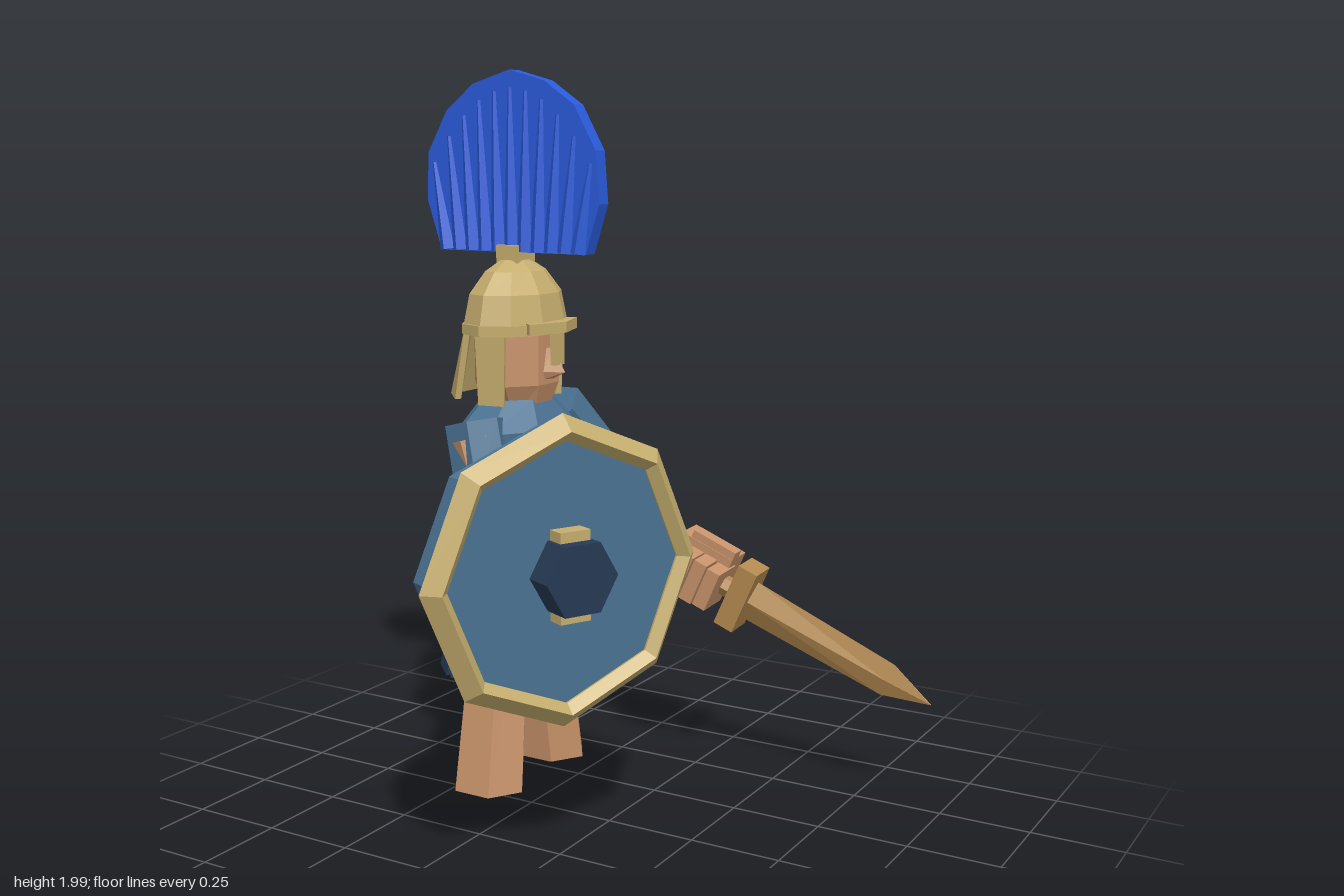
import * as THREE from 'three';

const mat = (color) => new THREE.MeshStandardMaterial({ color, flatShading: true });
const BLUE = mat(0x4a7292), NAVY = mat(0x263a54), GOLD = mat(0xc6ae6e), SKIN = mat(0xc8936a),
  BRONZE = mat(0xb58a50), CREST = mat(0x2a5bdc);
const V = (x, y, z) => new THREE.Vector3(x, y, z);

function add(parent, name, geo, material, x = 0, y = 0, z = 0) {
  const m = new THREE.Mesh(geo, material);
  m.name = name;
  m.position.set(x, y, z);
  parent.add(m);
  return m;
}
const box = (p, name, material, w, h, d, x, y, z) =>
  add(p, name, new THREE.BoxGeometry(w, h, d), material, x, y, z);

// Stack of elliptical rings [y, rx, rz, dx, dz], listed from the top down
function loft(rings, sides, turn = 0) {
  const k = rings.length - 1;
  const g = new THREE.CylinderGeometry(1, 1, 1, sides, k, false, turn);
  const p = g.attributes.position;
  for (let i = 0; i < p.count; i++) {
    const [y, rx, rz, dx = 0, dz = 0] = rings[Math.round((0.5 - p.getY(i)) * k)];
    p.setXYZ(i, p.getX(i) * rx + dx, y, p.getZ(i) * rz + dz);
  }
  return g;
}

// Tapered limb between two points
function limb(parent, name, material, a, b, ra, rb, sides = 6) {
  const m = add(parent, name, new THREE.CylinderGeometry(rb, ra, a.distanceTo(b), sides), material);
  m.position.copy(a).lerp(b, 0.5);
  m.quaternion.setFromUnitVectors(V(0, 1, 0), b.clone().sub(a).normalize());
  return m;
}

// Plate wrapped on an ellipse: top/bottom = [y, rx, rz, halfAngle]
function plate(parent, name, material, angle, top, bottom, thick) {
  const g = new THREE.BoxGeometry(2, 2, 2);
  const p = g.attributes.position;
  for (let i = 0; i < p.count; i++) {
    const [y, rx, rz, half] = p.getY(i) > 0 ? top : bottom;
    const t = angle - p.getX(i) * half, o = p.getZ(i) > 0 ? 0 : -thick;
    p.setXYZ(i, (rx + o) * Math.cos(t), y, (rz + o) * Math.sin(t));
  }
  return add(parent, name, g, material);
}

function makeBody() {
  const body = new THREE.Group();
  body.name = 'body';
  body.position.set(-0.425, 0, -0.21);
  add(body, 'tunic', loft([[1.11, 0.09, 0.12], [1.03, 0.14, 0.23], [0.85, 0.138, 0.205], [0.62, 0.122, 0.175]], 8, Math.PI / 8), BLUE);
  add(body, 'belt', loft([[0.64, 0.138, 0.19], [0.59, 0.138, 0.19]], 10), NAVY);

  // Skirt strips, each with a belt stud
  for (let i = 0; i < 10; i++) {
    const a = (i + 0.5) * Math.PI / 5;
    plate(body, 'skirtStrip', NAVY, a, [0.61, 0.14, 0.185, 0.29], [0.35, 0.198, 0.28, 0.26], 0.015);
    const stud = box(body, 'beltStud', GOLD, 0.02, 0.04, 0.032, 0.14 * Math.cos(a), 0.615, 0.19 * Math.sin(a));
    stud.rotation.y = -a;
  }

  // Legs
  for (const s of [1, -1])
    add(body, 'leg', loft([[0.62, 0.085, 0.085, 0, s * 0.075], [0.01, 0.112, 0.1, 0, s * 0.163]], 6, Math.PI / 6), SKIN);

  // Head and nose
  add(body, 'head', loft([[1.32, 0.115, 0.135], [1.15, 0.115, 0.135], [1.06, 0.085, 0.075]], 8, Math.PI / 8), SKIN);
  add(body, 'nose', loft([[1.25, 0.015, 0.012], [1.185, 0.055, 0.028], [1.165, 0.015, 0.02]], 4), SKIN, 0.105);
  return body;
}

function makeHelmet() {
  const helmet = new THREE.Group();
  helmet.name = 'helmet';
  helmet.position.set(-0.425, 0, -0.21);
  add(helmet, 'dome', loft([[1.49, 0.035, 0.05], [1.46, 0.075, 0.105], [1.4, 0.115, 0.158], [1.32, 0.13, 0.177], [1.29, 0.13, 0.177]], 10), GOLD);
  add(helmet, 'rim', loft([[1.32, 0.135, 0.184], [1.293, 0.135, 0.184]], 10), GOLD);
  for (const a of [-0.36, 0.36])
    plate(helmet, 'brow', GOLD, a, [1.325, 0.165, 0.185, 0.36], [1.295, 0.165, 0.185, 0.36], 0.05);
  box(helmet, 'noseGuard', GOLD, 0.018, 0.1, 0.045, 0.135, 1.255, 0);
  for (const s of [1, -1])
    plate(helmet, 'cheekGuard', GOLD, s * 1.45, [1.3, 0.145, 0.165, 0.32], [1.1, 0.14, 0.16, 0.28], 0.018);
  for (const i of [-1, 0, 1])
    plate(helmet, 'neckGuard', GOLD, Math.PI + i * 0.68, [1.31, 0.135, 0.175, 0.34], [1.11, 0.195, 0.18, 0.33], 0.018);
  box(helmet, 'crestMount', GOLD, 0.068, 0.07, 0.09, 0, 1.495, 0);
  return helmet;
}

function makeCrest() {
  const crest = new THREE.Group();
  crest.name = 'crest';
  crest.position.set(-0.425, 0, -0.235);
  const outline = [[-0.235, 1.51], [0.24, 1.51], [0.283, 1.645], [0.272, 1.785], [0.205, 1.905], [0.11, 1.97],
    [0, 2], [-0.12, 1.965], [-0.21, 1.895], [-0.275, 1.78], [-0.281, 1.65]];
  const shape = new THREE.Shape(outline.map(([x, y]) => new THREE.Vector2(x, y)));
  add(crest, 'plume', new THREE.ExtrudeGeometry(shape, { depth: 0.047, bevelEnabled: false }), CREST);
  // Raised bristles fanning out on one face
  for (let i = -5; i <= 5; i++) {
    const a = i / 5, len = 0.44 - 0.2 * a * a;
    const m = limb(crest, 'bristle', CREST, V(a * 0.215, 1.512, 0.047), V(a * 0.255, 1.512 + len, 0.047), 0.024, 0.006, 4);
    m.scale.z = 0.75;
  }
  return crest;
}

function makeShield() {
  const shield = new THREE.Group();
  shield.name = 'shield';
  shield.position.set(0.085, 0.785, 0.345);
  shield.rotation.y = Math.atan2(0.9, 0.44);
  add(shield, 'shieldBoard', new THREE.CylinderGeometry(0.34, 0.345, 0.125, 8).rotateX(Math.PI / 2), BLUE, 0, 0, -0.07);
  const rim = [[0.335, -0.055], [0.39, -0.016], [0.35, 0.025], [0.325, 0], [0.335, -0.055]].map(([r, y]) => new THREE.Vector2(r, y));
  add(shield, 'shieldRim', new THREE.LatheGeometry(rim, 8).rotateX(Math.PI / 2), GOLD);
  add(shield, 'shieldBoss', new THREE.CylinderGeometry(0.1, 0.1, 0.09, 6).rotateY(Math.PI / 2).rotateX(Math.PI / 2), NAVY, 0, 0, 0.028);
  for (const s of [1, -1]) {
    box(shield, 'bossTab', GOLD, 0.085, 0.06, 0.05, 0, s * 0.083, 0.015);
    box(shield, 'handleArm', GOLD, 0.065, 0.045, 0.17, 0, s * 0.172, -0.205);
  }
  box(shield, 'handleBar', GOLD, 0.055, 0.36, 0.045, 0, 0, -0.265);

  // Hand closed round the handle
  box(shield, 'shieldHand', SKIN, 0.12, 0.17, 0.07, -0.01, -0.02, -0.32);
  for (let i = 0; i < 4; i++)
    box(shield, 'shieldFinger', SKIN, 0.13 - 0.008 * Math.abs(i - 1), 0.042, 0.1, 0.01, 0.06 - i * 0.048, -0.265);
  return shield;
}

function makeSword() {
  const sword = new THREE.Group();
  sword.name = 'sword';
  sword.position.set(0.005, 0.595, -0.5);
  sword.quaternion.setFromUnitVectors(V(1, 0, 0), V(0.69, -0.3, -0.05).normalize());
  // Diamond-section blade along +x
  const blade = loft([[0.755, 0.001, 0.001], [0.62, 0.05, 0.014], [0.17, 0.06, 0.026]], 4);
  add(sword, 'blade', blade.rotateZ(-Math.PI / 2), BRONZE);
  box(sword, 'guard', BRONZE, 0.06, 0.19, 0.1, 0.145, 0, 0);
  add(sword, 'grip', new THREE.CylinderGeometry(0.03, 0.03, 0.34, 6).rotateZ(Math.PI / 2), BRONZE);
  box(sword, 'pommel', BRONZE, 0.075, 0.09, 0.085, -0.17, 0, 0);

  // Hand closed round the grip
  box(sword, 'swordHand', SKIN, 0.17, 0.13, 0.1, -0.005, 0.015, -0.045);
  for (let i = 0; i < 4; i++)
    box(sword, 'swordFinger', SKIN, 0.04, 0.13 - 0.008 * Math.abs(i - 1.5), 0.12, -0.07 + i * 0.045, -0.005, 0.025);
  box(sword, 'swordThumb', SKIN, 0.14, 0.035, 0.045, 0.01, 0.085, -0.02);
  return sword;
}

function makeArms() {
  const arms = new THREE.Group();
  arms.name = 'arms';
  // Left arm, holding the shield
  const shL = V(-0.43, 1.02, 0), elL = V(-0.345, 0.71, -0.005), wrL = V(-0.2, 0.765, 0.19);
  limb(arms, 'leftSleeve', BLUE, V(-0.435, 1.06, -0.02), shL.clone().lerp(elL, 0.5), 0.085, 0.085);
  limb(arms, 'leftUpperArm', SKIN, shL, elL, 0.07, 0.06);
  limb(arms, 'leftForearm', SKIN, elL, wrL, 0.068, 0.05);
  // Right arm, holding the sword
  const shR = V(-0.42, 1.04, -0.42), elR = V(-0.31, 0.75, -0.645), wrR = V(-0.06, 0.63, -0.545);
  limb(arms, 'rightSleeve', BLUE, V(-0.425, 1.05, -0.4), shR.clone().lerp(elR, 0.55), 0.09, 0.08);
  limb(arms, 'rightUpperArm', SKIN, shR, elR, 0.07, 0.06);
  limb(arms, 'rightForearm', SKIN, elR, wrR, 0.066, 0.052);
  for (const [name, p] of [['leftElbow', elL], ['rightElbow', elR]])
    add(arms, name, new THREE.IcosahedronGeometry(0.062, 0), SKIN, p.x, p.y, p.z);
  return arms;
}

export function createModel() {
  const model = new THREE.Group();
  model.name = 'warrior';
  model.add(makeBody(), makeHelmet(), makeCrest(), makeArms(), makeShield(), makeSword());
  return model;
}
